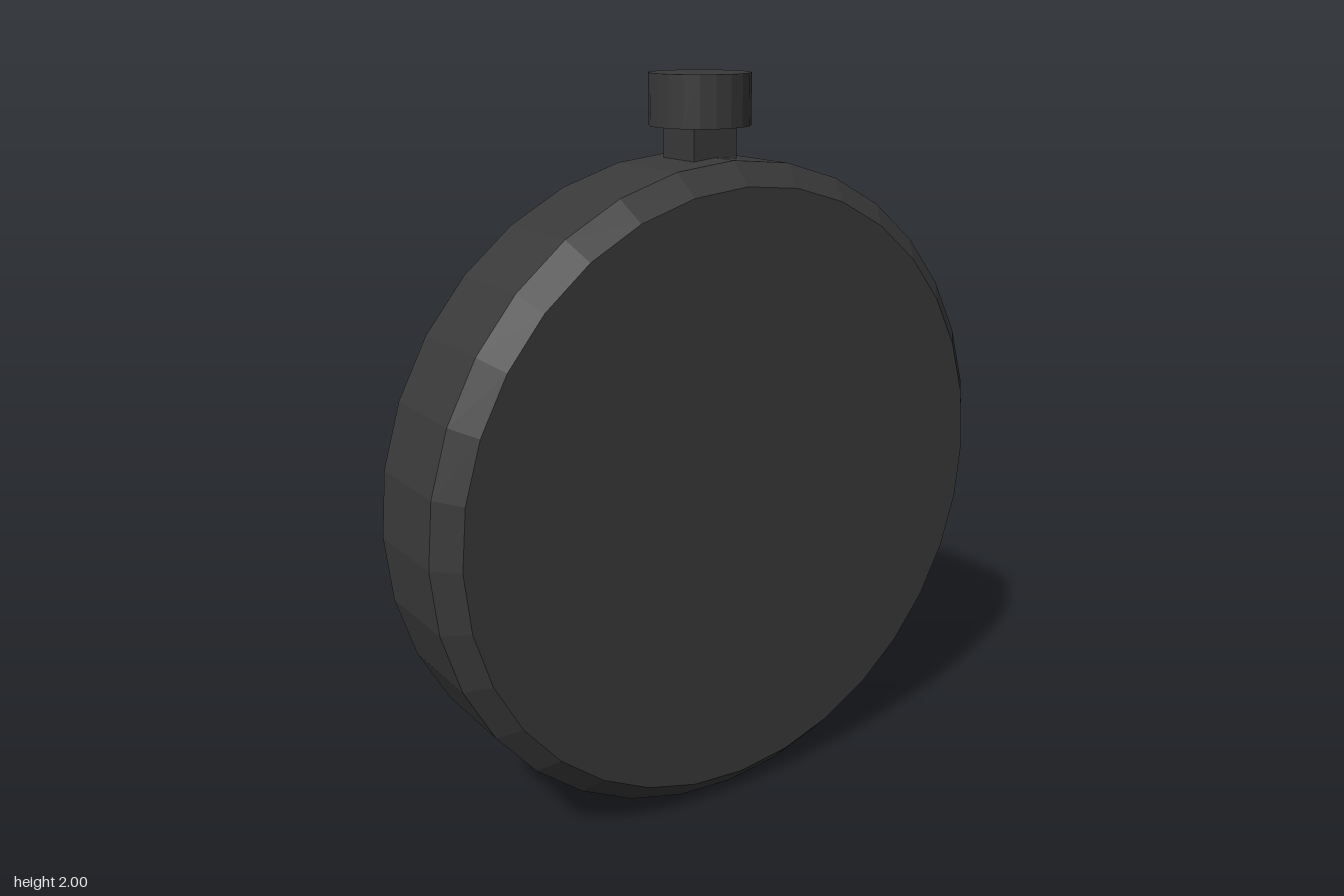
import * as THREE from 'three';

export function createModel() {
  const mat = (name, color) => {
    const m = new THREE.MeshStandardMaterial({ color, flatShading: true });
    m.name = name;
    return m;
  };
  const dark = mat('charcoal', 0x393939);
  const pale = mat('paleGrey', 0xd0d0d0);
  const black = mat('black', 0x0c0c0c);

  const group = new THREE.Group();
  group.name = 'pocketWatch';
  const add = (name, geometry, material, x, y, z, parent = group) => {
    const mesh = new THREE.Mesh(geometry, material);
    mesh.name = name;
    mesh.position.set(x, y, z);
    parent.add(mesh);
    return mesh;
  };

  const centreY = 0.896;
  const dialZ = -0.11;

  // Case: bevelled ring with a recessed opening at the back and a closed front
  const profile = [
    [0.75, -0.1], [0.747, -0.207], [0.81, -0.207], [0.895, -0.115],
    [0.895, 0.15], [0.835, 0.207], [0, 0.207],
  ].map(([r, z]) => new THREE.Vector2(r, z));
  add('case', new THREE.LatheGeometry(profile, 32).rotateX(Math.PI / 2), dark, 0, centreY, 0);

  // Dial, facing backwards inside the rim
  add('dial', new THREE.CircleGeometry(0.76, 32).rotateY(Math.PI), pale, 0, centreY, dialZ);

  // Four raised hour marks
  const marks = new THREE.Group();
  marks.name = 'hourMarks';
  marks.position.set(0, centreY, dialZ - 0.02);
  group.add(marks);
  for (let i = 0; i < 4; i++) {
    const a = i * Math.PI / 2;
    const mark = add('hourMark', new THREE.BoxGeometry(0.23, 0.044, 0.04), black,
      0.597 * Math.cos(a), 0.597 * Math.sin(a), 0, marks);
    mark.rotation.z = a;
  }

  // Winding stem and crown
  add('stem', new THREE.BoxGeometry(0.136, 0.15, 0.136), dark, 0, 1.8, 0.004);
  add('crown', new THREE.CylinderGeometry(0.133, 0.133, 0.132, 20), dark, 0, 1.934, 0.004);

  return group;
}
